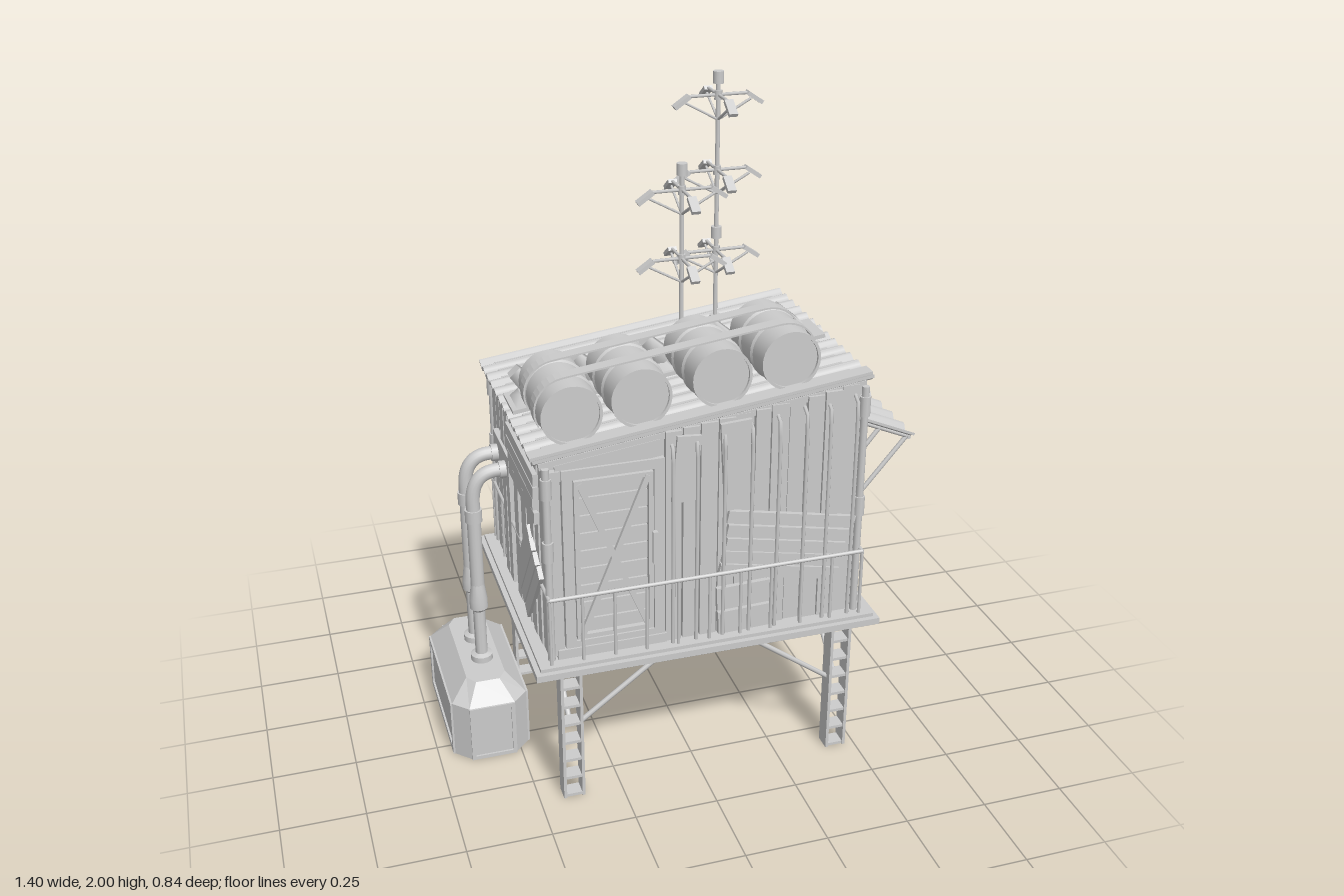
import * as THREE from 'three';
import { toCreasedNormals } from 'three/addons/utils/BufferGeometryUtils.js';

const mat = new THREE.MeshStandardMaterial({ color: 0xcccccc, side: THREE.DoubleSide });
const V = (x, y, z) => new THREE.Vector3(x, y, z);
const SLOPE = Math.atan(0.13);
const roofY = x => 1.183 + 0.13 * x;

let seed = 7;
const rnd = () => (seed = (seed * 16807) % 2147483647) / 2147483647;

function add(parent, name, geo, x = 0, y = 0, z = 0, rz = 0) {
  const m = new THREE.Mesh(geo, mat);
  m.name = name;
  m.position.set(x, y, z);
  m.rotation.z = rz;
  parent.add(m);
  return m;
}
const box = (p, name, w, h, d, x, y, z, rz = 0) => add(p, name, new THREE.BoxGeometry(w, h, d), x, y, z, rz);
function rod(p, name, a, b, r, sides = 8) {
  const m = add(p, name, new THREE.CylinderGeometry(r, r, a.distanceTo(b), sides));
  m.position.copy(a).lerp(b, 0.5);
  m.quaternion.setFromUnitVectors(V(0, 1, 0), b.clone().sub(a).normalize());
  return m;
}
function group(parent, name, x = 0, y = 0, z = 0) {
  const g = new THREE.Group();
  g.name = name;
  g.position.set(x, y, z);
  parent.add(g);
  return g;
}
const shapeOf = pts => new THREE.Shape(pts.map(p => new THREE.Vector2(...p)));
const extrude = (s, depth) => new THREE.ExtrudeGeometry(s, { depth, bevelEnabled: false });
// Rectangular frame with an open middle
function frame(p, name, w, h, t, d, x, y, z) {
  const rect = (a, b) => [[-a, -b], [a, -b], [a, b], [-a, b]];
  const s = shapeOf(rect(w / 2, h / 2));
  s.holes.push(shapeOf(rect(w / 2 - t, h / 2 - t)));
  return add(p, name, extrude(s, d), x, y, z);
}
// Wavy sheet, ridges along x, starting at x = 0 and centred on z
function corrugated(len, width, waves, amp, thick) {
  const top = [], n = waves * 8;
  for (let i = 0; i <= n; i++) top.push([(i / n - 0.5) * width, amp * Math.cos(i / 8 * 2 * Math.PI)]);
  const low = top.map(([a, b]) => [a, b - thick]).reverse();
  return toCreasedNormals(extrude(shapeOf([...top, ...low]), len).rotateY(Math.PI / 2), 0.9);
}

function addBase(g) {
  box(g, 'platformRim', 1.04, 0.02, 0.84, 0.01, 0.48, 0);
  box(g, 'platformDeck', 1.01, 0.016, 0.81, 0.01, 0.493, 0);
  box(g, 'platformUnderside', 1.0, 0.012, 0.8, 0.01, 0.467, 0);
  for (const sx of [-1, 1]) for (const sz of [-1, 1]) {
    const x = 0.021 + sx * 0.418, z = sz * 0.33;
    const leg = group(g, 'ladderLeg', x, 0, z);
    for (const s of [-1, 1]) box(leg, 'legPlate', 0.009, 0.47, 0.052, s * 0.028, 0.235, 0);
    for (let i = 0; i < 8; i++) box(leg, 'legRung', 0.05, 0.009, 0.045, 0, 0.006 + i * 0.063, 0);
    rod(g, 'legBrace', V(x - sx * 0.03, 0.25, z), V(0.02 + sx * 0.09, 0.47, z), 0.008);
    rod(g, 'legBrace', V(x, 0.25, z - sz * 0.02), V(x, 0.47, sz * 0.06), 0.008);
  }
}

function addRailing(g) {
  const x0 = -0.46, x1 = 0.475, z = 0.388;
  for (const s of [-1, 1]) {
    rod(g, 'rail', V(x0, 0.71, s * z), V(x1, 0.71, s * z), 0.006);
    for (let i = 0; i <= 10; i++) {
      const x = x0 + (x1 - x0) * i / 10;
      rod(g, 'railPost', V(x, 0.5, s * z), V(x, 0.71, s * z), 0.005, 6);
    }
    // tall wall pipes that hook over at the eaves
    const xs = s > 0 ? [-0.1, -0.03, 0.05, 0.13, 0.21, 0.29, 0.36, 0.44] : [-0.43, -0.31, -0.17, -0.04, 0.06, 0.17, 0.3, 0.42];
    for (const x of xs) {
      const t = roofY(x) - 0.03;
      const path = new THREE.CatmullRomCurve3([V(x, 0.5, s * 0.38), V(x, t - 0.08, s * 0.38), V(x, t - 0.02, s * 0.374), V(x, t, s * 0.34)]);
      add(g, 'wallPipe', new THREE.TubeGeometry(path, 16, 0.006, 6));
    }
  }
  for (const x of [x0, x1]) {
    rod(g, 'sideRail', V(x, 0.71, -z), V(x, 0.71, z), 0.006);
    for (const pz of [-0.25, 0.15]) rod(g, 'railPost', V(x, 0.5, pz), V(x, 0.71, pz), 0.005, 6);
    // corner pipes with collars
    for (const s of [-1, 1]) {
      const t = roofY(x) - 0.02;
      rod(g, 'cornerPipe', V(x * 0.985, 0.5, s * 0.362), V(x * 0.985, t, s * 0.362), 0.011, 10);
      for (const y of [0.82, t - 0.09]) rod(g, 'pipeCollar', V(x * 0.985, y, s * 0.362), V(x * 0.985, y + 0.06, s * 0.362), 0.016, 10);
    }
  }
}

// Upright boards from u0 to u1; top(u) gives the wall height
function boards(w, u0, u1, step, top) {
  for (let u = u0 + step / 2; u < u1; u += step) {
    const h = top(u) - 0.502 - 0.006 * rnd(), d = 0.008 + 0.014 * rnd();
    box(w, 'wallBoard', step * (0.82 + 0.16 * rnd()), h, d, u, 0.5 + h / 2, d / 2);
  }
}
// A patch of parallel planks tilted by angle a
function planks(w, n, len, width, u, v, a, out = 0.024) {
  const p = group(w, 'plankPatch', u, v, out);
  p.rotation.z = a;
  for (let i = 0; i < n; i++) box(p, 'plank', len * (0.9 + 0.1 * rnd()), width * 0.9, 0.014, 0, (i - (n - 1) / 2) * width, 0.004 * rnd());
}

function addHouse(g) {
  const body = shapeOf([[-0.445, 0.5], [0.455, 0.5], [0.455, roofY(0.455)], [-0.445, roofY(-0.445)]]);
  add(g, 'houseBody', extrude(body, 0.69), 0, 0, -0.345);
  const wall = (name, x, z, ry) => {
    const w = group(g, name, x, 0, z);
    w.rotation.y = ry;
    return w;
  };

  // front wall with the braced door
  const front = wall('frontWall', 0, 0.345, 0);
  boards(front, -0.12, 0.45, 0.052, u => roofY(u - 0.03));
  box(front, 'doorSill', 0.32, 0.03, 0.03, -0.275, 0.515, 0.01);
  box(front, 'doorLintel', 0.3, 0.05, 0.012, -0.275, 1.1, 0.006, SLOPE);
  frame(front, 'doorFrame', 0.29, 0.57, 0.03, 0.02, -0.265, 0.805, 0);
  frame(front, 'doorTrim', 0.225, 0.5, 0.014, 0.022, -0.265, 0.805, 0);
  for (let i = 0; i < 9; i++) box(front, 'doorSlat', 0.2, 0.05, 0.008, -0.265, 0.585 + i * 0.055, 0.003);
  for (const s of [-1, 1]) box(front, 'doorCross', 0.016, 0.52, 0.012, -0.265, 0.805, 0.018, s * 0.385);
  box(front, 'doorHandle', 0.014, 0.1, 0.025, -0.15, 0.82, 0.022);
  box(front, 'doorSidePlank', 0.03, 0.58, 0.018, -0.43, 0.8, 0.009);
  planks(front, 5, 0.4, 0.042, 0.24, 0.76, -0.2);
  planks(front, 2, 0.18, 0.08, 0.12, 0.58, 0.03);
  box(front, 'tiltedBoard', 0.09, 0.27, 0.012, 0.09, 1.04, 0.026, 0.06);
  box(front, 'tiltedBoard', 0.07, 0.2, 0.012, -0.06, 1.05, 0.024, -0.08);

  // right wall with the shuttered window and awning
  const right = wall('rightWall', 0.455, 0, Math.PI / 2);
  boards(right, -0.34, -0.23, 0.037, () => 1.22);
  boards(right, 0.23, 0.34, 0.037, () => 1.22);
  frame(right, 'windowFrame', 0.47, 0.2, 0.018, 0.02, 0, 0.955, 0);
  for (let i = 0; i < 8; i++) box(right, 'windowSlat', 0.44, 0.014, 0.022, 0, 0.88 + i * 0.022, 0.006).rotation.x = 0.5;
  box(right, 'upperPanel', 0.25, 0.13, 0.012, -0.1, 1.15, 0.006, -0.03);
  box(right, 'upperPanel', 0.27, 0.12, 0.012, 0.13, 1.155, 0.014, 0.06);
  box(right, 'upperPlank', 0.06, 0.14, 0.012, -0.08, 1.15, 0.018, 0.12);
  planks(right, 5, 0.34, 0.034, -0.16, 0.77, 0, 0.009);
  planks(right, 1, 0.27, 0.17, -0.19, 0.6, 0.04, 0.009);
  box(right, 'lowerPanel', 0.26, 0.34, 0.008, 0.09, 0.68, 0.004);
  planks(right, 4, 0.36, 0.045, 0.1, 0.68, 1.22);
  const awning = group(g, 'awning', 0.468, 1.08, 0);
  add(awning, 'awningSheet', corrugated(0.24, 0.485, 6, 0.01, 0.008), 0, 0, 0, -0.41);
  for (const z of [-0.22, 0.22]) {
    rod(awning, 'awningStrut', V(0.21, -0.1, z), V(0, -0.35, z), 0.007);
    rod(awning, 'awningStrut', V(0.12, -0.06, z), V(0, -0.21, z), 0.007);
    rod(awning, 'awningRafter', V(0, -0.012, z), V(0.215, -0.105, z), 0.007);
  }
  rod(awning, 'awningBar', V(0.212, -0.104, -0.23), V(0.212, -0.104, 0.23), 0.006);

  // back wall patched with planks, a turned panel and louvres
  const back = wall('backWall', 0, -0.345, Math.PI);
  boards(back, -0.45, 0.44, 0.056, u => roofY(-u - 0.03));
  planks(back, 6, 0.36, 0.042, -0.22, 0.74, -0.12);
  box(back, 'turnedPanel', 0.2, 0.2, 0.012, 0.17, 0.77, 0.028, 0.7);
  planks(back, 6, 0.2, 0.034, 0.33, 0.62, 0);
  box(back, 'tiltedBoard', 0.11, 0.28, 0.012, -0.05, 1.0, 0.026, 0.07);

  // left wall behind the pipes
  const left = wall('leftWall', -0.445, 0, -Math.PI / 2);
  boards(left, -0.34, 0.34, 0.052, () => 1.11);
  planks(left, 4, 0.36, 0.04, 0.12, 0.98, 0, 0.02);
  planks(left, 4, 0.3, 0.045, 0.16, 0.68, 0.9, 0.02);
  box(left, 'pipePlate', 0.22, 0.11, 0.02, -0.15, 0.89, 0.02);
}

function addRoof(g) {
  const roof = group(g, 'roof', 0, roofY(0), 0);
  roof.rotation.z = SLOPE;
  add(roof, 'roofSheet', corrugated(0.985, 0.73, 13, 0.008, 0.01), -0.49, 0.004, 0);
  box(roof, 'roofRidgeSheet', 0.95, 0.012, 0.13, 0, 0.016, -0.005);
  box(roof, 'eaveStrip', 0.99, 0.01, 0.045, 0, 0.012, 0.333);
  for (const s of [-1, 1]) box(roof, 'eaveBeam', 0.95, 0.02, 0.02, 0, -0.016, s * 0.345);
  // roof vents
  for (const x of [-0.42, -0.24, -0.03, 0.17, 0.37]) {
    const vent = group(roof, 'roofVent', x, 0.02, 0);
    const flange = add(vent, 'ventBase', new THREE.CylinderGeometry(0.03, 0.07, 0.03, 4).rotateY(Math.PI / 4), 0, 0.015, 0);
    flange.scale.x = 0.85;
    add(vent, 'ventHood', new THREE.CylinderGeometry(0.026, 0.042, 0.085, 4).rotateY(Math.PI / 4), 0, 0.06, 0, 0.6);
  }

  // barrels held by two straps
  const r = 0.086, half = 0.135;
  const pts = [[0, half - 0.008], [r - 0.008, half - 0.008], [r - 0.008, half], [r, half], [r, 0.055], [r + 0.005, 0.047], [r, 0.04]];
  const profile = [...pts, ...pts.map(([a, b]) => [a, -b]).reverse()].map(p => new THREE.Vector2(...p)).reverse();
  const barrel = toCreasedNormals(new THREE.LatheGeometry(profile, 32).rotateX(Math.PI / 2), 0.5);
  const xs = [-0.365, -0.17, 0.06, 0.26];
  for (const x of xs) add(g, 'barrel', barrel, x, roofY(x) + 0.092, 0.185);
  const line = rad => {
    const out = [];
    for (const [x, a0, a1] of [[xs[0], Math.PI + 0.5, 1.7], [xs[3], 1.7, -0.4]])
      for (let i = 0; i <= 10; i++) {
        const a = a0 + (a1 - a0) * i / 10;
        out.push([x + rad * Math.cos(a), roofY(x) + 0.092 + rad * Math.sin(a)]);
      }
    return out;
  };
  const strap = extrude(shapeOf([...line(0.094), ...line(0.089).reverse()]), 0.04);
  for (const z of [0.105, 0.23]) add(g, 'barrelStrap', strap, 0, 0, z);
}

function addAntenna(g, x, z, top, levels) {
  const a = group(g, 'antenna', x, 0, z), base = roofY(x);
  rod(a, 'mast', V(0, base, 0), V(0, top - 0.02, 0), 0.007);
  rod(a, 'mastFoot', V(0, base, 0), V(0, base + 0.05, 0), 0.018);
  rod(a, 'mastCap', V(0, top - 0.035, 0), V(0, top, 0), 0.016, 12);
  for (const y of levels) {
    rod(a, 'hub', V(0, y + 0.008, 0), V(0, y + 0.035, 0), 0.012);
    for (let i = 0; i < 4; i++) {
      const arm = group(a, 'antennaArm', 0, y, 0);
      arm.rotation.y = i * Math.PI / 2;
      rod(arm, 'armBar', V(0, 0.022, 0), V(0.088, 0.022, 0), 0.005, 6);
      box(arm, 'armTip', 0.055, 0.012, 0.026, 0.11, 0.008, 0, -0.6);
      rod(arm, 'armStrut', V(0, -0.05, 0), V(0.1, 0.005, 0), 0.004, 6);
    }
  }
}

function addTank(g) {
  const tank = group(g, 'tank', -0.585, 0, -0.153);
  const X = 0.115, Z = 0.243, c = 0.045;
  const oct = shapeOf([[-X + c, -Z], [X - c, -Z], [X, -Z + c], [X, Z - c], [X - c, Z], [-X + c, Z], [-X, Z - c], [-X, -Z + c]]);
  add(tank, 'tankBody', extrude(oct, 0.185).rotateX(-Math.PI / 2));
  // shoulder tapering to the flat lid
  const lid = extrude(oct, 0.058).rotateX(-Math.PI / 2), p = lid.attributes.position;
  for (let i = 0; i < p.count; i++) if (p.getY(i) > 0.03) p.setXYZ(i, p.getX(i) * 0.52, p.getY(i), p.getZ(i) * 0.78);
  lid.computeVertexNormals();
  add(tank, 'tankShoulder', lid, 0, 0.185, 0);
  for (const s of [-1, 1]) {
    frame(tank, 'tankEndFrame', 2 * (X - c), 0.185, 0.012, 0.006, 0, 0.0925, s > 0 ? Z : -Z - 0.006);
    const f = frame(tank, 'tankSideFrame', 2 * (Z - c), 0.185, 0.018, 0.006, s * X, 0.0925, 0);
    f.rotation.y = s * Math.PI / 2;
  }
  // pipes rising from the tank into the wall
  for (const z of [-0.09, -0.208]) {
    const x = -0.578, path = new THREE.CurvePath();
    path.add(new THREE.LineCurve3(V(x, 0.5, z), V(x, 0.79, z)));
    path.add(new THREE.QuadraticBezierCurve3(V(x, 0.79, z), V(x, 0.89, z), V(-0.5, 0.89, z)));
    path.add(new THREE.LineCurve3(V(-0.5, 0.89, z), V(-0.44, 0.892, z)));
    add(g, 'supplyPipe', new THREE.TubeGeometry(path, 40, 0.021, 14));
    const foot = [[0.034, 0.24], [0.034, 0.262], [0.019, 0.268], [0.019, 0.42], [0.028, 0.43], [0.028, 0.46], [0.02, 0.52]];
    add(g, 'pipeFoot', toCreasedNormals(new THREE.LatheGeometry(foot.map(q => new THREE.Vector2(...q)), 16), 0.5), x, 0, z);
    rod(g, 'pipeCollar', V(x, 0.73, z), V(x, 0.77, z), 0.026, 16);
    rod(g, 'pipeCollar', V(-0.495, 0.89, z), V(-0.465, 0.89, z), 0.026, 16);
  }
}

export function createModel() {
  const g = new THREE.Group();
  g.name = 'stiltShack';
  addBase(g);
  addRailing(g);
  addHouse(g);
  addRoof(g);
  addAntenna(g, 0.075, -0.1, 1.77, [1.67, 1.465]);
  addAntenna(g, 0.215, -0.2, 2.0, [1.91, 1.69, 1.445]);
  rod(g, 'mastJoint', V(0.215, 1.505, -0.2), V(0.215, 1.54, -0.2), 0.016, 12);
  addTank(g);
  return g;
}
